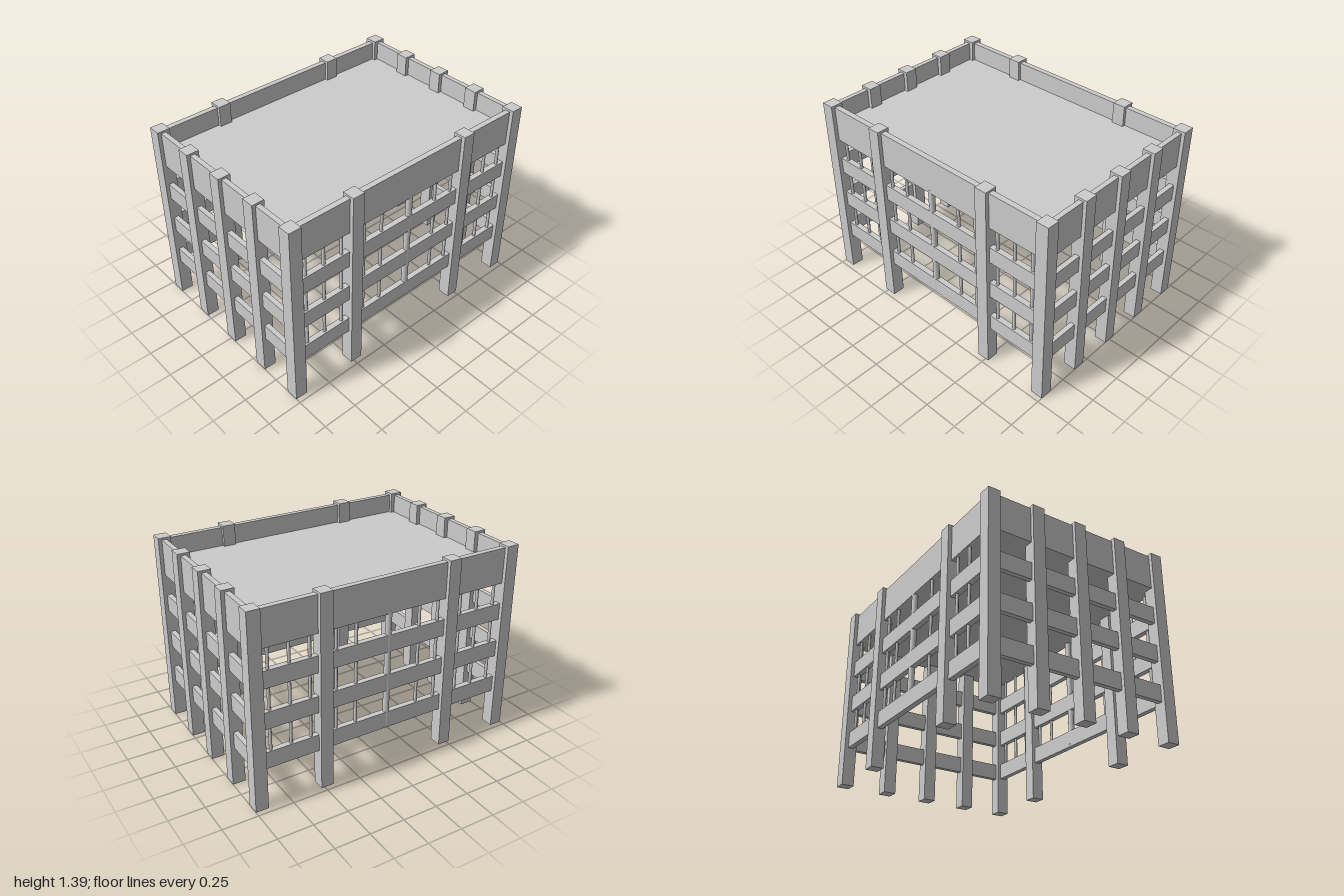
import * as THREE from 'three';

export function createModel() {
  const model = new THREE.Group();
  const mat = new THREE.MeshStandardMaterial({ color: 0xcccccc });

  const add = (name, geometry, x, y, z) => {
    const mesh = new THREE.Mesh(geometry, mat);
    mesh.name = name;
    mesh.position.set(x, y, z);
    model.add(mesh);
  };

  const H = 1.39, POST = 0.09, PX = 0.669, PZ = 0.955;

  // Square posts: five on each short end, two more along each long side
  const postGeo = new THREE.BoxGeometry(POST, H, POST);
  for (const s of [-1, 1]) {
    for (const x of [-PX, -PX / 2, 0, PX / 2, PX]) add('endPost', postGeo, x, H / 2, s * PZ);
    for (const z of [-0.478, 0.478]) add('sidePost', postGeo, s * PX, H / 2, z);
  }

  // Horizontal rails and the tall parapet, wrapping all four sides
  const bands = [
    ['lowerRail', 0.28, 0.4],
    ['middleRail', 0.565, 0.685],
    ['upperRail', 0.85, 0.97],
    ['parapet', 1.12, 1.375],
  ];
  for (const [name, y0, y1] of bands) {
    const y = (y0 + y1) / 2, h = y1 - y0;
    for (const s of [-1, 1]) {
      add(name + 'End', new THREE.BoxGeometry(PX * 2, h, 0.035), 0, y, s * 0.957);
      add(name + 'Side', new THREE.BoxGeometry(0.04, h, PZ * 2), s * 0.667, y, 0);
    }
  }

  // Roof slab set below the parapet rim
  add('roofSlab', new THREE.BoxGeometry(1.3, 0.12, 1.885), 0, 1.18, 0);

  // Slim round bars between the rails on the long sides, thicker in the centre
  const barH = 0.84, barY = 0.3 + barH / 2;
  const slim = new THREE.CylinderGeometry(0.011, 0.011, barH, 12);
  const thick = new THREE.CylinderGeometry(0.022, 0.022, barH, 16);
  for (const s of [-1, 1]) {
    add('centreBar', thick, s * 0.667, barY, 0);
    for (const z of [0.24, 0.387, 0.573, 0.715, 0.858]) {
      for (const m of [-1, 1]) add('sideBar', slim, s * 0.667, barY, m * z);
    }
  }

  return model;
}
